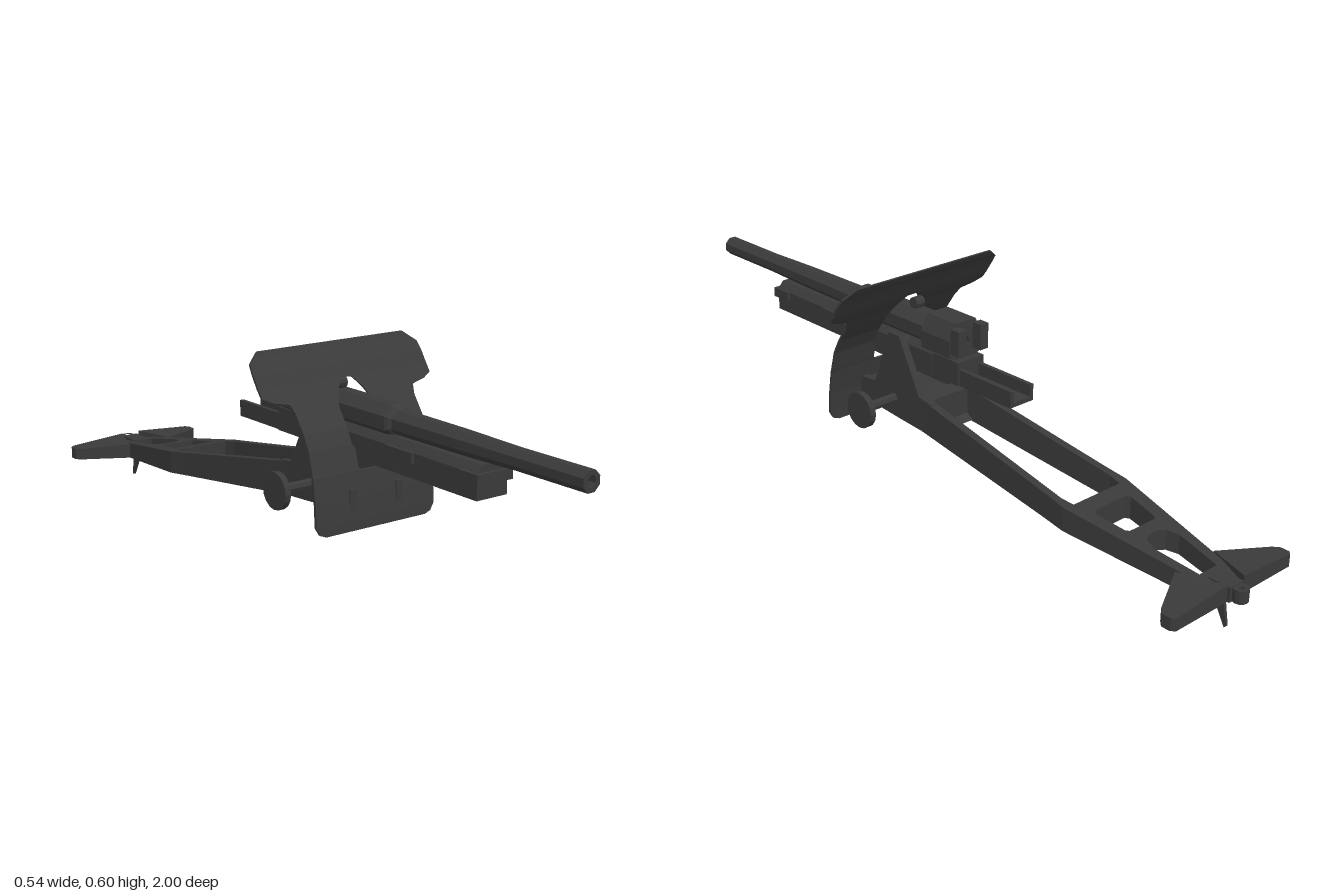
import * as THREE from 'three';

const gunmetal = new THREE.MeshStandardMaterial({ color: 0x3a3a3a });
gunmetal.name = 'gunmetal';
const AXIS = 0.443; // height of the bore
const lerp = THREE.MathUtils.lerp;

// Faceted mesh with a name
function add(group, name, geometry) {
  const g = geometry.index ? geometry.toNonIndexed() : geometry;
  g.computeVertexNormals();
  const mesh = new THREE.Mesh(g, gunmetal);
  mesh.name = name;
  group.add(mesh);
  return mesh;
}

const poly = (pts) => pts.map(([x, y]) => new THREE.Vector2(x, y));
const mirrored = (half) => [...half, ...half.map(([x, y]) => [-x, y]).reverse()];
const circle = (cx, cy, r, n, start = 0) => Array.from({ length: n }, (_, i) => {
  const a = start + (i / n) * Math.PI * 2;
  return [cx + r * Math.cos(a), cy + r * Math.sin(a)];
});

function extrude(outline, depth, holes = []) {
  const shape = new THREE.Shape(poly(outline));
  holes.forEach((h) => shape.holes.push(new THREE.Path(poly(h))));
  return new THREE.ExtrudeGeometry(shape, { depth, bevelEnabled: false });
}

// Outline in (x, y), running from z0 to z1
const alongZ = (pts, z0, z1, holes) => extrude(pts, z1 - z0, holes).translate(0, 0, z0);
// Outline in (z, y), running from x0 to x1
const alongX = (pts, x0, x1) => extrude(pts, x1 - x0).translate(0, 0, -x1).rotateY(-Math.PI / 2);
// Outline in (x, z), running from y0 to y1
function alongY(pts, y0, y1, holes = []) {
  const flip = (list) => list.map(([x, z]) => [x, -z]);
  return extrude(flip(pts), y1 - y0, holes.map(flip)).rotateX(-Math.PI / 2).translate(0, y0, 0);
}
const box = (x0, x1, y0, y1, z0, z1) =>
  new THREE.BoxGeometry(x1 - x0, y1 - y0, z1 - z0).translate((x0 + x1) / 2, (y0 + y1) / 2, (z0 + z1) / 2);

// One half of the curved shield; rows are [y, z, outer x, inner x]
function shieldHalf(rows, side) {
  const pos = [], idx = [], t = 0.004;
  const tri = (a, b, c) => idx.push(...(side > 0 ? [a, b, c] : [a, c, b]));
  rows.forEach(([y, z, xo, xi]) => {
    [[xi, z + t], [xo, z + t], [xo, z - t], [xi, z - t]].forEach(([x, pz]) => pos.push(side * x, y, pz));
  });
  for (let r = 0; r < rows.length - 1; r++) {
    for (let i = 0; i < 4; i++) {
      const a = r * 4 + i, b = r * 4 + (i + 1) % 4;
      tri(a, b, b + 4);
      tri(a, b + 4, a + 4);
    }
  }
  const n = (rows.length - 1) * 4;
  tri(0, 2, 1); tri(0, 3, 2);
  tri(n, n + 1, n + 2); tri(n, n + 2, n + 3);
  const g = new THREE.BufferGeometry();
  g.setAttribute('position', new THREE.Float32BufferAttribute(pos, 3));
  g.setIndex(idx);
  return g;
}

function buildBarrel(group) {
  // Octagonal tube with an open bore
  const k = 1 / Math.cos(Math.PI / 8);
  const profile = [
    [0.013, -0.06], [0.042, -0.06], [0.042, 0.36], [0.037, 0.37],
    [0.031, 0.375], [0.029, 0.6], [0.025, 0.78], [0.025, 1], [0.013, 1], [0.013, -0.06],
  ].map(([r, z]) => [r * k, z]);
  const tube = new THREE.LatheGeometry(poly(profile), 8);
  tube.rotateY(Math.PI / 8).rotateX(Math.PI / 2).translate(0, AXIS, 0);
  add(group, 'barrel', tube);

  const bore = circle(0, AXIS, 0.015, 8, Math.PI / 8);
  const breech = mirrored([[0.04, 0.4], [0.057, 0.41], [0.057, 0.457], [0.034, 0.5]]);
  add(group, 'breechRing', alongZ(breech, -0.06, 0.05, [bore]));
  for (const s of [-1, 1]) {
    const x = [s * 0.025, s * 0.052].sort((a, b) => a - b);
    add(group, 'breechJaw', box(x[0], x[1], 0.42, 0.49, -0.09, -0.06));
  }
  const sight = new THREE.CylinderGeometry(0.016, 0.016, 0.028, 10).rotateZ(Math.PI / 2);
  add(group, 'sight', sight.translate(0, 0.499, 0.13));
}

function buildCradle(group) {
  add(group, 'cradle', alongZ(mirrored([[0.047, 0.332], [0.047, 0.395], [0.03, 0.415]]), 0.02, 0.7));
  add(group, 'cradleRear', box(-0.045, 0.045, 0.335, 0.4, -0.08, 0.02));
  const trough = mirrored([[0.04, 0.335], [0.04, 0.38], [0.028, 0.38], [0.028, 0.347]]);
  add(group, 'recoilTrough', alongZ(trough, -0.27, -0.08));
  // Clamps on the cradle sides
  for (const [z0, z1] of [[0.645, 0.71], [0.38, 0.48]]) {
    add(group, 'cradleClamp', box(-0.055, 0.055, 0.37, 0.397, z0, z1));
  }
}

function buildShield(group) {
  const rows = [
    [0.155, 0.283, 0.16, 0], [0.162, 0.283, 0.178, 0], [0.182, 0.282, 0.19, 0],
    [0.24, 0.278, 0.19, 0], [0.305, 0.268, 0.19, 0], [0.306, 0.268, 0.19, 0.042],
    [0.315, 0.265, 0.19, 0.048], [0.36, 0.253, 0.19, 0.048], [0.37, 0.25, 0.19, 0.056],
    [0.41, 0.229, 0.19, 0.056], [0.455, 0.197, 0.19, 0.056], [0.478, 0.181, 0.198, 0.046],
    [0.486, 0.175, 0.24, 0.042], [0.498, 0.166, 0.268, 0.034], [0.516, 0.153, 0.269, 0.018],
    [0.517, 0.152, 0.269, 0], [0.55, 0.13, 0.269, 0], [0.574, 0.113, 0.266, 0],
    [0.586, 0.104, 0.25, 0], [0.6, 0.095, 0.232, 0],
  ];
  for (const s of [-1, 1]) add(group, 'shield', shieldHalf(rows, s));
}

function buildCarriage(group) {
  const cheek = [
    [0.285, 0.205], [0.285, 0.262], [0.21, 0.27], [0.15, 0.43], [0.108, 0.43],
    [0.03, 0.28], [-0.02, 0.273], [-0.02, 0.182], [0.1, 0.19],
  ];
  const floor = [[0.28, 0.205], [0.28, 0.255], [0.05, 0.255], [0, 0.2], [-0.02, 0.184], [0.1, 0.191]];
  add(group, 'carriageBody', alongX(floor, -0.066, 0.066));
  for (const s of [-1, 1]) {
    add(group, 'cheek', s > 0 ? alongX(cheek, 0.064, 0.085) : alongX(cheek, -0.085, -0.064));
    // Small side wheels on stub axles
    const disc = (name, r, w, x, n) => add(group, name,
      new THREE.CylinderGeometry(r, r, w, n).rotateZ(Math.PI / 2).translate(s * x, 0.245, 0.13));
    disc('axle', 0.014, 0.12, 0.135, 8);
    disc('wheelHub', 0.022, 0.012, 0.187, 10);
    disc('wheel', 0.05, 0.017, 0.199, 16);
  }
  const trunnion = new THREE.CylinderGeometry(0.014, 0.014, 0.14, 8).rotateZ(Math.PI / 2);
  add(group, 'trunnion', trunnion.translate(0, 0.4, 0.13));
}

function buildTrail(group) {
  // Tapering frame in plan, with its height falling towards the rear
  const outline = mirrored([[0.084, 0.04], [0.108, -0.46], [0.113, -0.53], [0.062, -0.86], [0.045, -0.95]]);
  const holes = [
    mirrored([[0.063, 0], [0.088, -0.5], [0.082, -0.535]]),
    mirrored([[0.055, -0.58], [0.064, -0.59], [0.052, -0.675], [0.044, -0.683]]),
    mirrored([[0.015, -0.718], [0.035, -0.73], [0.047, -0.76], [0.031, -0.885]]),
  ];
  const frame = alongY(outline, 0, 1, holes);
  const p = frame.attributes.position;
  for (let i = 0; i < p.count; i++) {
    const t = (0.04 - p.getZ(i)) / 0.9;
    p.setY(i, lerp(lerp(0.187, 0.083, t), lerp(0.28, 0.13, t), p.getY(i)));
  }
  add(group, 'trail', frame);

  // Side blades, slightly thinner at the tips
  for (const s of [-1, 1]) {
    const pts = [[0.03, -0.965], [0.205, -0.965], [0.215, -0.955], [0.215, -0.93], [0.2, -0.915], [0.07, -0.845]];
    const blade = alongY(s > 0 ? pts : pts.map(([x, z]) => [-x, z]).reverse(), 0, 1);
    const b = blade.attributes.position;
    for (let i = 0; i < b.count; i++) {
      b.setY(i, lerp(0.088, 0.136 - 0.07 * Math.abs(b.getX(i)), b.getY(i)));
    }
    add(group, 'trailBlade', blade);
  }

  // Ground spike and towing eye
  add(group, 'groundSpike', alongX([[-0.945, 0], [-0.95, 0.005], [-0.935, 0.09], [-0.895, 0.09]], -0.004, 0.004));
  add(group, 'towBar', box(-0.024, 0.024, 0.085, 0.125, -0.968, -0.9));
  add(group, 'towEye', alongY(circle(0, -0.98, 0.02, 12), 0.088, 0.122, [circle(0, -0.982, 0.008, 8)]));
}

export function createModel() {
  const model = new THREE.Group();
  model.name = 'fieldGun';
  const parts = { gunBarrel: buildBarrel, gunCradle: buildCradle, gunShield: buildShield,
    carriage: buildCarriage, trailAssembly: buildTrail };
  for (const [name, build] of Object.entries(parts)) {
    const group = new THREE.Group();
    group.name = name;
    build(group);
    model.add(group);
  }
  return model;
}
